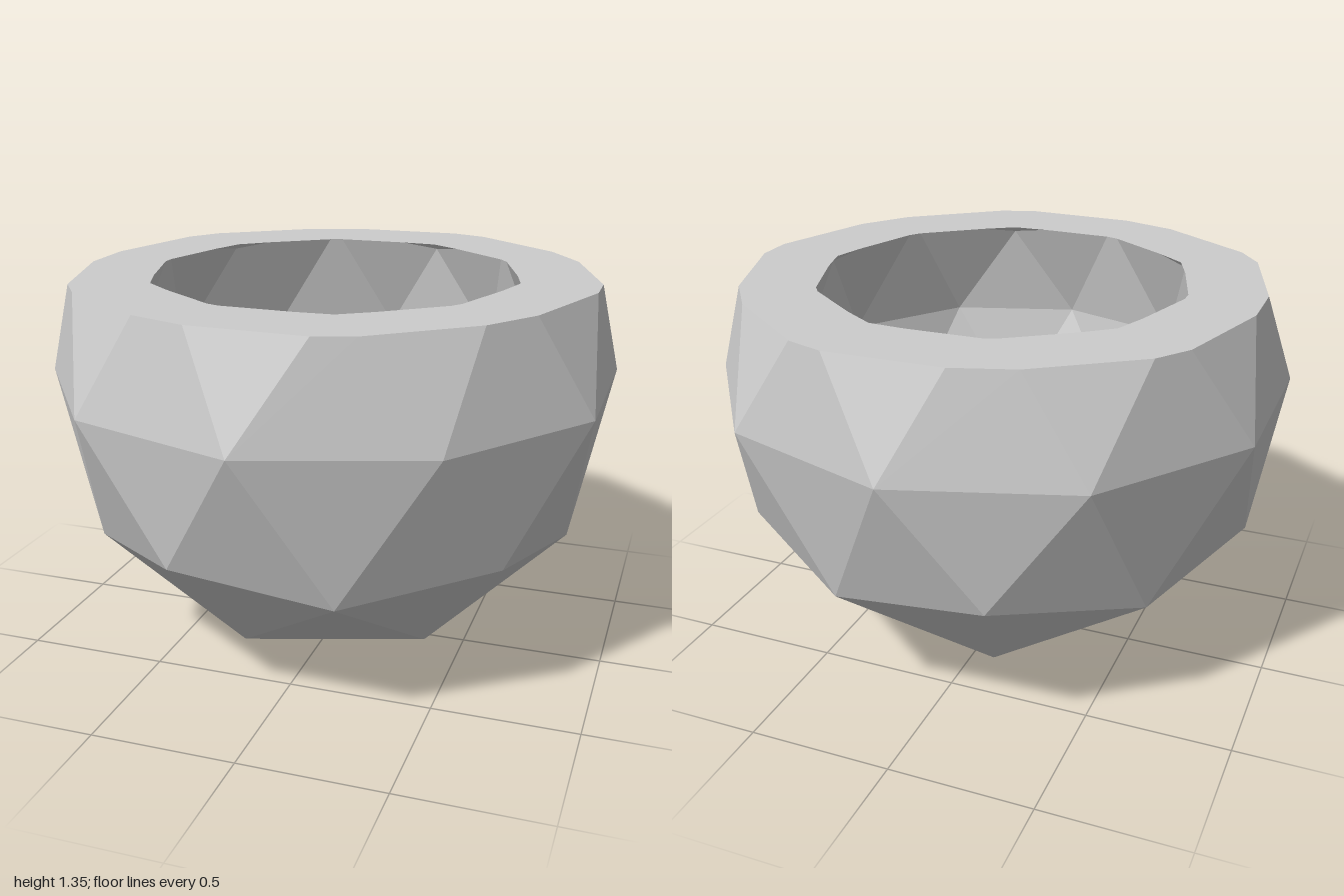
import * as THREE from 'three';

const CUT = 0.35; // rim height above the sphere centre
const CENTRE_Y = 1;

// Faceted ball standing on a vertex, sliced flat at CUT; also returns the outline of the slice
function cutBall(radius, inward) {
  const ball = new THREE.IcosahedronGeometry(radius, 1);
  ball.rotateX(-Math.atan((1 + Math.sqrt(5)) / 2)).rotateY(Math.PI / 2);
  const pos = ball.attributes.position;
  const out = [];
  const outline = [];
  for (let i = 0; i < pos.count; i += 3) {
    const tri = [0, 1, 2].map(k => new THREE.Vector3().fromBufferAttribute(pos, i + k));
    const poly = [];
    tri.forEach((a, k) => {
      const b = tri[(k + 1) % 3];
      if (a.y <= CUT) poly.push(a);
      if ((a.y <= CUT) !== (b.y <= CUT)) {
        const p = a.clone().lerp(b, (CUT - a.y) / (b.y - a.y));
        poly.push(p);
        if (a.y <= CUT) outline.push(p); // each crossed edge counted once
      }
    });
    if (inward) poly.reverse();
    for (let k = 1; k < poly.length - 1; k++) {
      for (const p of [poly[0], poly[k], poly[k + 1]]) out.push(p.x, p.y, p.z);
    }
  }
  const geometry = new THREE.BufferGeometry();
  geometry.setAttribute('position', new THREE.Float32BufferAttribute(out, 3));
  geometry.computeVertexNormals();
  const points = outline.map(p => new THREE.Vector2(p.x, -p.z));
  points.sort((p, q) => p.angle() - q.angle());
  return { geometry, points };
}

export function createModel() {
  const group = new THREE.Group();
  group.name = 'bowl';
  const material = new THREE.MeshStandardMaterial({ color: 0xcccccc, flatShading: true });
  const add = (name, geometry) => {
    const mesh = new THREE.Mesh(geometry, material);
    mesh.name = name;
    mesh.position.y = CENTRE_Y;
    group.add(mesh);
  };

  // Outer wall and hollow
  const outer = cutBall(1, false);
  const inner = cutBall(0.74, true);
  add('outerWall', outer.geometry);
  add('innerWall', inner.geometry);

  // Flat rim joining the two walls
  const ring = new THREE.Shape(outer.points);
  ring.holes.push(new THREE.Path(inner.points));
  add('rim', new THREE.ShapeGeometry(ring).rotateX(-Math.PI / 2).translate(0, CUT, 0));

  return group;
}
